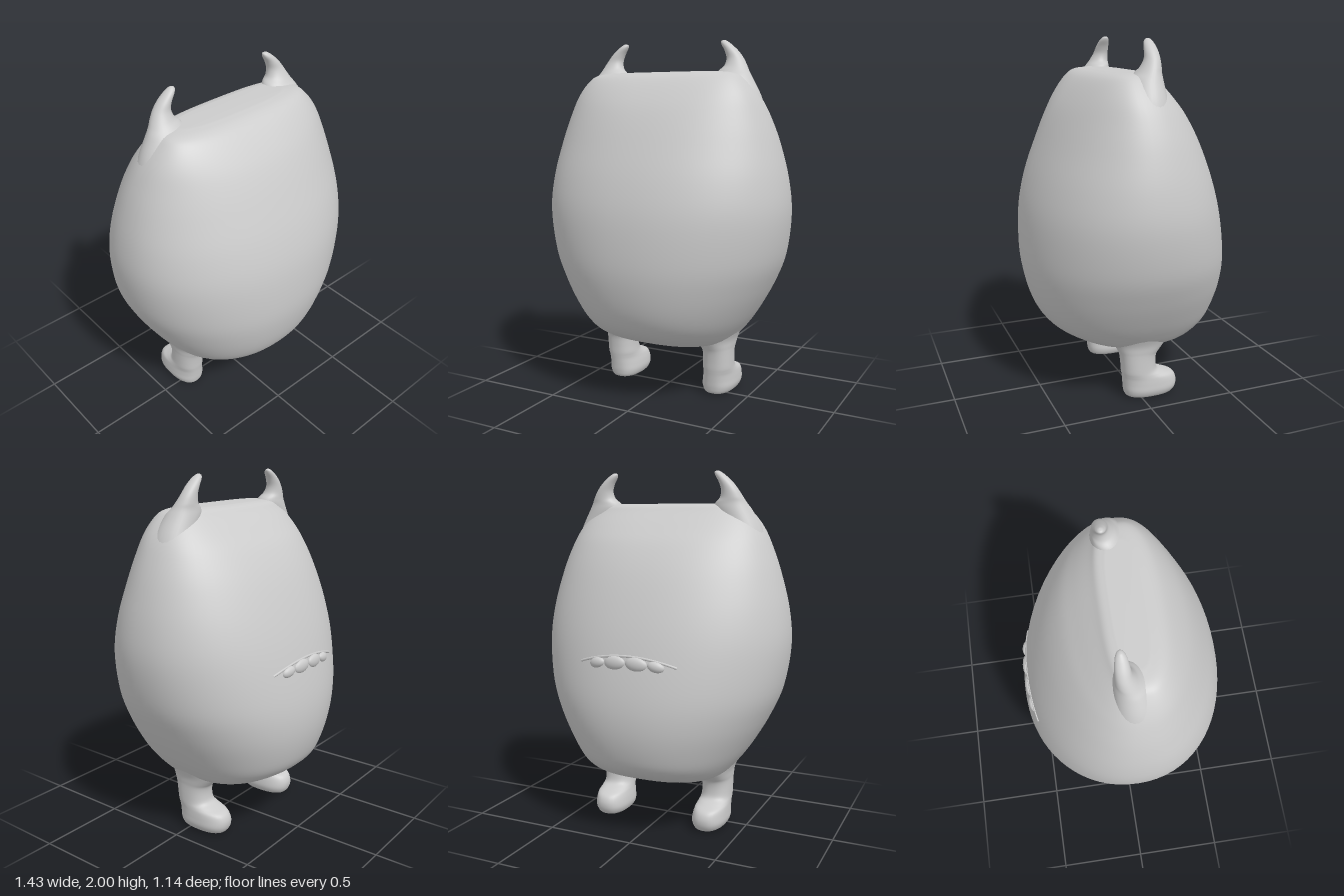
import * as THREE from 'three';

const material = new THREE.MeshStandardMaterial({ color: 0xcccccc });

// Cross-sections, bottom to top: [y, xMin, xMax, zMin, zMax, squareness]
const bodySections = [
  [0.285, -0.20, 0.20, -0.17, 0.10, 2.8],
  [0.295, -0.30, 0.30, -0.27, 0.19, 2.7],
  [0.33, -0.39, 0.39, -0.385, 0.30, 2.5],
  [0.40, -0.455, 0.455, -0.49, 0.425, 2.3],
  [0.50, -0.525, 0.525, -0.54, 0.50, 2.2],
  [0.65, -0.61, 0.61, -0.57, 0.548, 2.15],
  [0.82, -0.68, 0.68, -0.567, 0.57, 2.12],
  [1.05, -0.715, 0.715, -0.525, 0.56, 2.12],
  [1.25, -0.70, 0.70, -0.468, 0.515, 2.12],
  [1.45, -0.652, 0.652, -0.388, 0.44, 2.12],
  [1.60, -0.597, 0.597, -0.30, 0.37, 2.2],
  [1.70, -0.545, 0.545, -0.21, 0.305, 2.4],
  [1.78, -0.48, 0.48, -0.125, 0.235, 2.7],
  [1.815, -0.43, 0.43, -0.085, 0.18, 3],
  [1.828, -0.34, 0.34, -0.04, 0.12, 3],
];
const legSections = [
  [0.0, 0.25, 0.365, -0.185, 0.05, 2.4],
  [0.012, 0.228, 0.392, -0.208, 0.078, 2.4],
  [0.045, 0.215, 0.408, -0.225, 0.088, 2.4],
  [0.085, 0.217, 0.409, -0.226, 0.093, 2.3],
  [0.12, 0.224, 0.407, -0.205, 0.097, 2.3],
  [0.142, 0.229, 0.405, -0.15, 0.10, 2.3],
  [0.165, 0.232, 0.404, -0.105, 0.103, 2.3],
  [0.21, 0.235, 0.404, -0.094, 0.107, 2.3],
  [0.26, 0.233, 0.405, -0.10, 0.114, 2.3],
  [0.29, 0.215, 0.408, -0.125, 0.125, 2.3],
  [0.34, 0.18, 0.418, -0.17, 0.15, 2.2],
  [0.42, 0.15, 0.455, -0.20, 0.19, 2.1],
];
const hornSections = [
  [1.58, 0.36, 0.59, -0.11, 0.14, 2],
  [1.70, 0.32, 0.549, -0.09, 0.12, 2],
  [1.79, 0.285, 0.498, -0.085, 0.09, 2],
  [1.83, 0.295, 0.472, -0.08, 0.055, 2],
  [1.86, 0.325, 0.455, -0.078, 0.03, 2],
  [1.90, 0.334, 0.431, -0.076, 0.008, 2],
  [1.94, 0.322, 0.399, -0.073, -0.001, 2],
  [1.975, 0.302, 0.36, -0.066, -0.01, 2],
  [1.993, 0.297, 0.335, -0.056, -0.022, 2],
  [2.0, 0.306, 0.322, -0.046, -0.032, 2],
];

// Smoothly interpolated section at t in 0..1
function sectionSampler(sections) {
  const curve = (i, j, k) => new THREE.CatmullRomCurve3(
    sections.map(s => new THREE.Vector3(s[i], s[j], s[k])), false, 'catmullrom', 0.5);
  const a = curve(0, 1, 2), b = curve(3, 4, 5);
  return t => {
    const p = a.getPoint(t), q = b.getPoint(t);
    return { y: p.x, cx: (p.y + p.z) / 2, hx: (p.z - p.y) / 2, cz: (q.x + q.y) / 2, hz: (q.y - q.x) / 2, n: q.z };
  };
}

// Closed skin stretched over superellipse rings
function loft(sections, sides) {
  const sample = sectionSampler(sections), rows = (sections.length - 1) * 5;
  const pos = [], index = [];
  const power = (v, e) => Math.sign(v) * Math.abs(v) ** e;
  for (let i = 0; i <= rows; i++) {
    const s = sample(i / rows);
    for (let j = 0; j < sides; j++) {
      const a = j / sides * Math.PI * 2;
      pos.push(s.cx + s.hx * power(Math.cos(a), 2 / s.n), s.y, s.cz + s.hz * power(Math.sin(a), 2 / s.n));
    }
  }
  const bottom = (rows + 1) * sides, top = bottom + 1;
  for (const t of [0, 1]) {
    const s = sample(t);
    pos.push(s.cx, s.y, s.cz);
  }
  for (let j = 0; j < sides; j++) {
    const k = (j + 1) % sides;
    for (let i = 0; i < rows; i++) {
      const p = i * sides + j, q = i * sides + k;
      index.push(p, p + sides, q, q, p + sides, q + sides);
    }
    index.push(bottom, j, k, top, rows * sides + k, rows * sides + j);
  }
  const g = new THREE.BufferGeometry();
  g.setAttribute('position', new THREE.Float32BufferAttribute(pos, 3));
  g.setIndex(index);
  g.computeVertexNormals();
  return g;
}

const mirrored = (sections, side) =>
  side > 0 ? sections : sections.map(([y, a, b, ...rest]) => [y, -b, -a, ...rest]);

// Depth of the body's face side at a given x and y
const bodyAt = sectionSampler(bodySections);
function faceZ(x, y) {
  let lo = 0, hi = 1;
  for (let i = 0; i < 25; i++) {
    const mid = (lo + hi) / 2;
    if (bodyAt(mid).y < y) lo = mid; else hi = mid;
  }
  const s = bodyAt(lo);
  return s.cz - s.hz * (1 - Math.abs(x / s.hx) ** s.n) ** (1 / s.n);
}

export function createModel() {
  const model = new THREE.Group();
  const add = (name, geometry, parent = model) => {
    const mesh = new THREE.Mesh(geometry, material);
    mesh.name = name;
    parent.add(mesh);
    return mesh;
  };

  add('body', loft(bodySections, 72));
  for (const side of [1, -1]) {
    const label = side > 0 ? 'left' : 'right';
    add(label + 'Leg', loft(mirrored(legSections, side), 36));
    add(label + 'Horn', loft(mirrored(hornSections, side), 32));
  }

  // Arched mouth on the face side
  const mouth = new THREE.Group();
  mouth.name = 'mouth';
  model.add(mouth);
  const arch = x => 1.04 - 0.6 * x * x;
  const lipPoints = [];
  for (let i = -6; i <= 6; i++) {
    const x = i / 6 * 0.28;
    lipPoints.push(new THREE.Vector3(x, arch(x), faceZ(x, arch(x)) + 0.001));
  }
  add('upperLip', new THREE.TubeGeometry(new THREE.CatmullRomCurve3(lipPoints), 40, 0.007, 8), mouth);

  // Four rounded teeth: [x, width, height]
  for (const [x, w, h] of [[0.063, 0.125, 0.075], [0.172, 0.095, 0.058]]) {
    for (const side of [1, -1]) {
      const y = arch(x) - h * 0.48;
      const tooth = add('tooth', new THREE.SphereGeometry(0.5, 20, 14), mouth);
      tooth.scale.set(w, h, 0.045);
      tooth.position.set(side * x, y, faceZ(x, y) + 0.004);
      const slope = (faceZ(x + 0.02, y) - faceZ(x - 0.02, y)) / 0.04;
      tooth.rotation.set(0, -side * Math.atan(slope), -side * 1.2 * x);
    }
  }
  return model;
}
